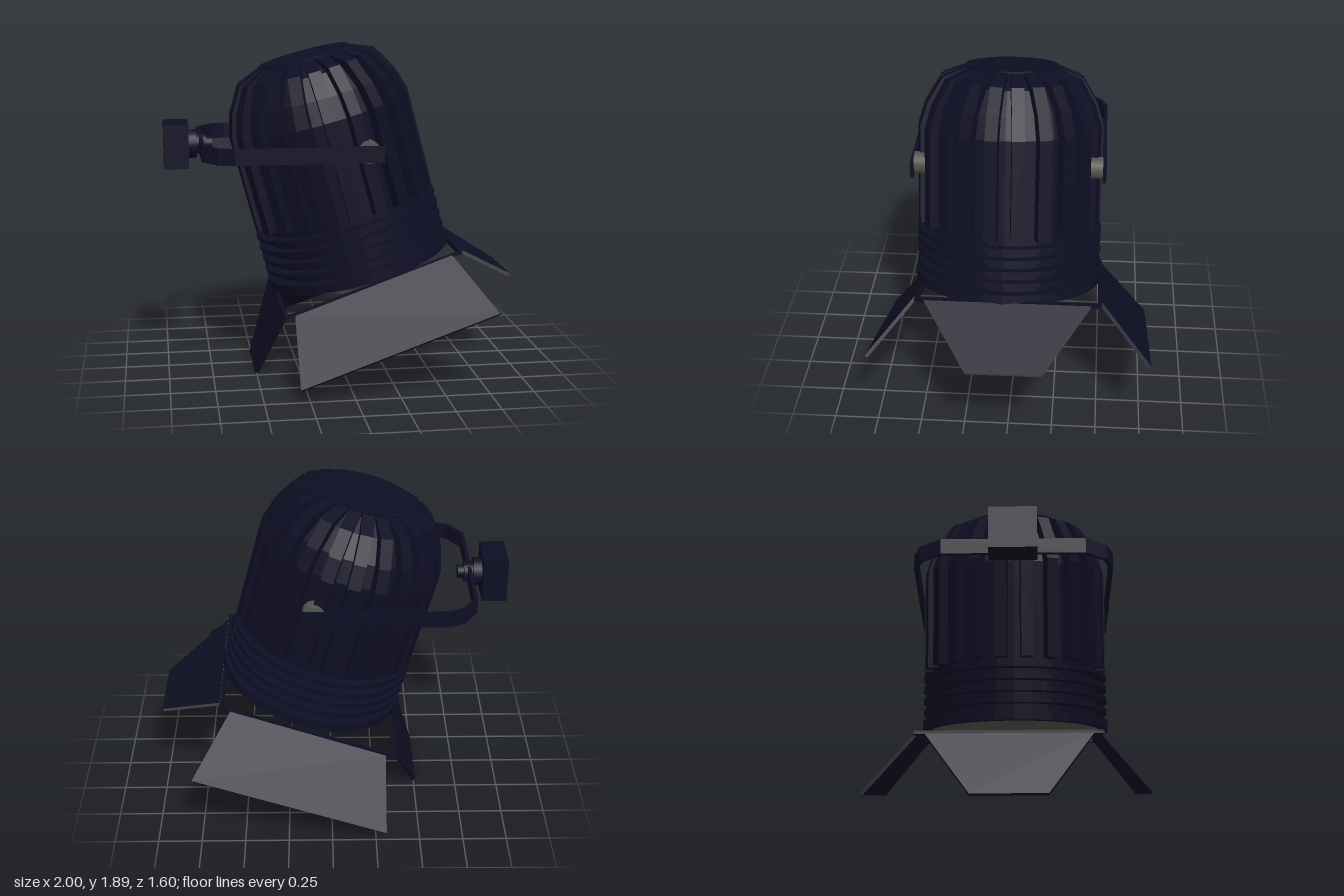
import * as THREE from 'three';

const navy = new THREE.MeshStandardMaterial({ color: 0x0e0e24 });
navy.name = 'dark navy metal';
const grey = new THREE.MeshStandardMaterial({ color: 0x53544d });
grey.name = 'warm grey';

const MID_Z = 0.037; // centre plane of lamp, yoke and clamp
const TILT = THREE.MathUtils.degToRad(15);

function add(parent, name, geometry, material = navy) {
  const mesh = new THREE.Mesh(geometry, material);
  mesh.name = name;
  parent.add(mesh);
  return mesh;
}

function faceted(geometry) {
  const g = geometry.index ? geometry.toNonIndexed() : geometry;
  g.computeVertexNormals();
  return g;
}

function lathe(points, segments = 32) {
  return faceted(new THREE.LatheGeometry(points.map(p => new THREE.Vector2(...p)), segments));
}

function polygon(points) {
  return new THREE.Shape(points.map(p => new THREE.Vector2(...p)));
}

// Flat four-cornered plate; group 0 is its two faces, group 1 its edges
function plate(corners, thickness) {
  const c = corners.map(p => new THREE.Vector3(...p));
  const n = c[1].clone().sub(c[0]).cross(c[3].clone().sub(c[0])).normalize();
  const top = c.map(p => p.clone().addScaledVector(n, thickness / 2));
  const low = c.map(p => p.clone().addScaledVector(n, -thickness / 2));
  const tris = [top[0], top[1], top[2], top[0], top[2], top[3],
    low[0], low[2], low[1], low[0], low[3], low[2]];
  for (let i = 0; i < 4; i++) {
    const j = (i + 1) % 4;
    tris.push(low[i], low[j], top[j], low[i], top[j], top[i]);
  }
  const g = new THREE.BufferGeometry().setFromPoints(tris);
  g.addGroup(0, 12, 0);
  g.addGroup(12, 24, 1);
  g.computeVertexNormals();
  return g;
}

// Square bar between two points
function bar(parent, name, a, b, size) {
  const from = new THREE.Vector3(...a), to = new THREE.Vector3(...b);
  const mesh = add(parent, name, new THREE.BoxGeometry(size, size, from.distanceTo(to) + size));
  mesh.position.copy(from).add(to).multiplyScalar(0.5);
  mesh.lookAt(to);
}

function makeLamp() {
  const lamp = new THREE.Group();
  lamp.name = 'lampHousing';
  lamp.position.set(0.12, 0.62, MID_Z);
  lamp.rotation.z = TILT;

  // Front rim, cooling rings and domed core in one profile
  const profile = [[0.495, 0.03], [0.495, -0.01], [0.54, -0.01], [0.54, 0.045], [0.475, 0.045]];
  for (let i = 0; i < 4; i++) {
    const u = 0.1 + i * 0.066;
    profile.push([0.475, u - 0.012], [0.535, u - 0.012], [0.535, u + 0.012], [0.475, u + 0.012]);
  }
  profile.push([0.475, 0.9], [0.44, 1.03], [0.36, 1.155], [0.25, 1.225], [0, 1.225]);
  add(lamp, 'housingCore', lathe(profile));

  // Lengthwise cooling fins following the dome
  const thick = 0.07, count = 22;
  const finShape = polygon([[0.38, 0.345], [0.53, 0.345], [0.53, 0.91], [0.49, 1.04],
    [0.405, 1.18], [0.265, 1.235], [0.22, 1.2], [0.38, 1.0]]);
  const finGeometry = new THREE.ExtrudeGeometry(finShape, { depth: thick, bevelEnabled: false });
  finGeometry.translate(0, 0, -thick / 2);
  for (let i = 0; i < count; i++) {
    add(lamp, 'coolingFin', finGeometry).rotation.y = (i + 0.5) / count * Math.PI * 2;
  }

  const cap = add(lamp, 'topCap', new THREE.CylinderGeometry(0.265, 0.265, 0.03, 32));
  cap.position.y = 1.228;
  add(lamp, 'lens', lathe([[0, -0.003], [0.3, 0], [0.5, 0.015]]), grey);
  return lamp;
}

function makeYoke() {
  const yoke = new THREE.Group();
  yoke.name = 'yoke';
  yoke.position.set(0, 1.325, MID_Z);

  // U-shaped flat strap with chamfered corners
  const outer = [[0.18, 0.552], [-0.63, 0.552], [-0.72, 0.515], [-0.8, 0.395]];
  const inner = [[0.18, 0.532], [-0.625, 0.532], [-0.708, 0.497], [-0.78, 0.388]];
  const mirror = pts => pts.map(([x, y]) => [x, -y]).reverse();
  const strap = new THREE.ExtrudeGeometry(
    polygon([...outer, ...mirror(outer), ...inner.map(([x, y]) => [x, -y]), ...mirror(inner.map(([x, y]) => [x, -y]))]),
    { depth: 0.09, bevelEnabled: false });
  strap.rotateX(-Math.PI / 2).translate(0, -0.045, 0);
  add(yoke, 'yokeStrap', strap);

  // Pivot bolts joining strap and housing
  for (const side of [-1, 1]) {
    const bolt = add(yoke, 'pivotBolt', new THREE.CylinderGeometry(0.062, 0.062, 0.08, 20), grey);
    bolt.rotation.x = Math.PI / 2;
    bolt.position.set(0.1, 0.01, side * 0.493);
  }

  // Mounting block and stepped swivel
  add(yoke, 'mountBlock', new THREE.BoxGeometry(0.14, 0.25, 0.26)).position.x = -0.93;
  for (const [x, length, radius] of [[-0.838, 0.05, 0.082], [-0.79, 0.06, 0.058], [-0.745, 0.04, 0.04]]) {
    const step = add(yoke, 'swivelStep', new THREE.CylinderGeometry(radius, radius, length, 20));
    step.rotation.z = Math.PI / 2;
    step.position.x = x;
  }
  return yoke;
}

function makeBarnDoors() {
  const doors = new THREE.Group();
  doors.name = 'barnDoors';

  // Square frame below the rim
  const near = 0.517, far = -0.502;
  const lowX = -0.355, lowY = 0.412, highX = 0.622, highY = 0.752;
  for (const z of [near, far]) {
    bar(doors, 'frameSideBar', [lowX, lowY, z], [highX, highY, z], 0.018);
  }
  bar(doors, 'frameLowBar', [lowX, lowY, far], [lowX, lowY, near], 0.022);
  bar(doors, 'frameHighBar', [highX, highY, far], [highX, highY, near], 0.022);

  // Four flaring leaves
  const t = 0.02;
  const leaf = (name, corners, edge = navy) => add(doors, name, plate(corners, t), [navy, edge]);
  leaf('frontLeaf', [[-0.305, 0.42, 0.525], [-0.305, 0.08, 0.79], [0.785, 0.465, 0.79], [0.575, 0.735, 0.525]]);
  leaf('backLeaf', [[-0.305, 0.42, -0.51], [0.575, 0.735, -0.51], [0.785, 0.465, -0.79], [-0.305, 0.08, -0.79]]);
  leaf('lowLeaf', [[lowX, 0.405, 0.475], [lowX, 0.405, -0.455], [-0.5, 0.004, -0.2], [-0.5, 0.004, 0.22]]);
  leaf('highLeaf', [[0.63, 0.75, 0.475], [0.99, 0.535, 0.215], [0.99, 0.535, -0.2], [0.63, 0.75, -0.455]], grey);
  return doors;
}

export function createModel() {
  const model = new THREE.Group();
  model.name = 'stageSpotlight';
  model.add(makeLamp(), makeYoke(), makeBarnDoors());
  return model;
}
